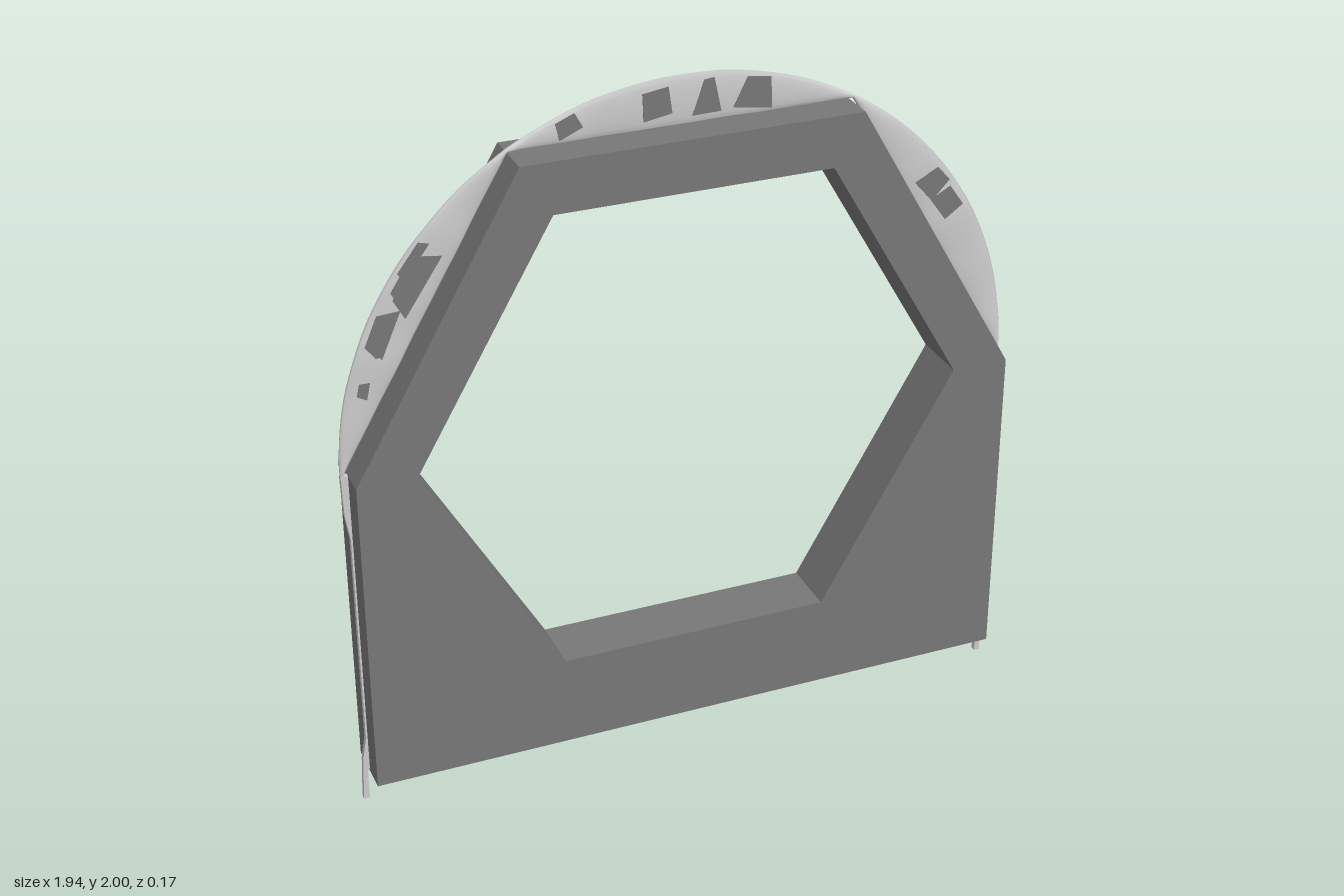
import * as THREE from 'three';

const CY = 1.035;          // centre height of the hexagon and the arch
const R_ARCH = 0.965;
const APOTHEM = 0.82;

const light = new THREE.MeshStandardMaterial({ color: 0xcccccc, side: THREE.DoubleSide });
const dark = new THREE.MeshStandardMaterial({ color: 0x777777, flatShading: true });

// distance from the centre to a hexagon of the given apothem (vertices on x)
function hexRadius(angle, apothem) {
  const s = Math.PI / 3;
  const a = ((angle % s) + s) % s - s / 2;
  return apothem / Math.cos(a);
}

// thin lens-shaped cross-section swept over the upper half circle
function archGeometry() {
  const rim = 96, ring = 16, pos = [], idx = [];
  for (let i = 0; i <= rim; i++) {
    const a = Math.PI * i / rim;
    const inner = hexRadius(a, APOTHEM + 0.008);
    for (let j = 0; j < ring; j++) {
      const b = 2 * Math.PI * j / ring;
      const r = (R_ARCH + inner) / 2 + (R_ARCH - inner) / 2 * Math.cos(b);
      const ripple = 0.002 * Math.sin(a * 23) * Math.sin(a * 7 + 1);
      pos.push(r * Math.cos(a), CY + r * Math.sin(a), 0.008 * Math.sin(b) + ripple);
      if (i < rim) {
        const p = i * ring + j, q = i * ring + (j + 1) % ring;
        idx.push(p, p + ring, q, q, p + ring, q + ring);
      }
    }
  }
  const g = new THREE.BufferGeometry();
  g.setAttribute('position', new THREE.Float32BufferAttribute(pos, 3));
  // order faces so they look outwards
  for (let k = 0; k < idx.length; k += 3) [idx[k + 1], idx[k + 2]] = [idx[k + 2], idx[k + 1]];
  g.setIndex(idx);
  g.computeVertexNormals();
  return g;
}

// small tapered facet lying on one face of the arch
function facet(angleDeg, radius, width, height, taper, side) {
  const w = width / 2, h = height / 2;
  const s = new THREE.Shape([
    new THREE.Vector2(-w, -h), new THREE.Vector2(w, -h * 0.85),
    new THREE.Vector2(w * taper, h), new THREE.Vector2(-w * taper, h * 0.9),
  ]);
  const g = new THREE.ExtrudeGeometry(s, { depth: 0.002, bevelEnabled: false });
  const m = new THREE.Mesh(g, dark);
  const a = angleDeg * Math.PI / 180;
  m.position.set(radius * Math.cos(a), CY + radius * Math.sin(a), side > 0 ? 0.0075 : -0.0095);
  m.rotation.z = a - Math.PI / 2;
  m.name = 'archFacet';
  return m;
}

export function createModel() {
  const model = new THREE.Group();

  // slab with a hexagonal opening
  const outline = new THREE.Shape([
    [-0.945, 0.09], [0.945, 0.09], [0.945, CY],
    [0.475, CY + APOTHEM], [-0.475, CY + APOTHEM], [-0.945, CY],
  ].map(([x, y]) => new THREE.Vector2(x, y)));
  const hole = [];
  for (let i = 0; i < 6; i++) {
    const a = -i * Math.PI / 3;
    hole.push(new THREE.Vector2(0.78 * Math.cos(a), CY + 0.78 * Math.sin(a)));
  }
  outline.holes.push(new THREE.Path(hole));
  const slab = new THREE.ExtrudeGeometry(outline, { depth: 0.17, bevelEnabled: false });
  slab.translate(0, 0, -0.085);
  const frame = new THREE.Mesh(slab, dark);
  frame.name = 'frame';
  model.add(frame);

  // thin arch behind the upper three edges
  const arch = new THREE.Mesh(archGeometry(), light);
  arch.name = 'arch';
  model.add(arch);

  // angle, radius, width, height, taper
  const front = [
    [95, 0.9, 0.08, 0.08, 0.9], [86, 0.9, 0.08, 0.1, 0.35], [77.5, 0.91, 0.11, 0.09, 0.6],
    [110, 0.93, 0.07, 0.05, 0.8], [142, 0.94, 0.12, 0.03, 0.8], [146, 0.93, 0.1, 0.03, 0.7],
    [145, 0.9, 0.19, 0.06, 0.7], [155, 0.92, 0.15, 0.06, 0.6], [165, 0.92, 0.05, 0.03, 0.7],
    [37, 0.91, 0.08, 0.08, 0.7], [32, 0.91, 0.08, 0.07, 0.9],
  ];
  const back = [
    [22, 0.91, 0.09, 0.06, 0.7], [33, 0.9, 0.1, 0.06, 0.7], [44, 0.93, 0.12, 0.03, 0.7],
    [94, 0.89, 0.09, 0.07, 0.4], [101, 0.9, 0.09, 0.06, 0.6],
    [148, 0.89, 0.07, 0.06, 0.5], [155, 0.89, 0.06, 0.06, 0.5],
  ];
  const facets = new THREE.Group();
  facets.name = 'archFacets';
  for (const f of front) facets.add(facet(...f, 1));
  for (const f of back) facets.add(facet(...f, -1));
  model.add(facets);

  // slim legs running down both sides, flaring at the top and at the foot
  const profile = [[0.968, 0], [0.962, 0.13], [0.95, 0.2], [0.95, 0.84], [0.962, 0.92], [0.965, CY]];
  for (const side of [-1, 1]) {
    const pts = profile.map(([x, y]) => new THREE.Vector2(side * x, y));
    pts.push(new THREE.Vector2(side * 0.943, CY), new THREE.Vector2(side * 0.943, 0.1),
      new THREE.Vector2(side * 0.951, 0.09), new THREE.Vector2(side * 0.951, 0));
    const g = new THREE.ExtrudeGeometry(new THREE.Shape(pts), { depth: 0.016, bevelEnabled: false });
    g.translate(0, 0, -0.008);
    const leg = new THREE.Mesh(g, light);
    leg.name = side > 0 ? 'leftLeg' : 'rightLeg';
    model.add(leg);
  }
  return model;
}
